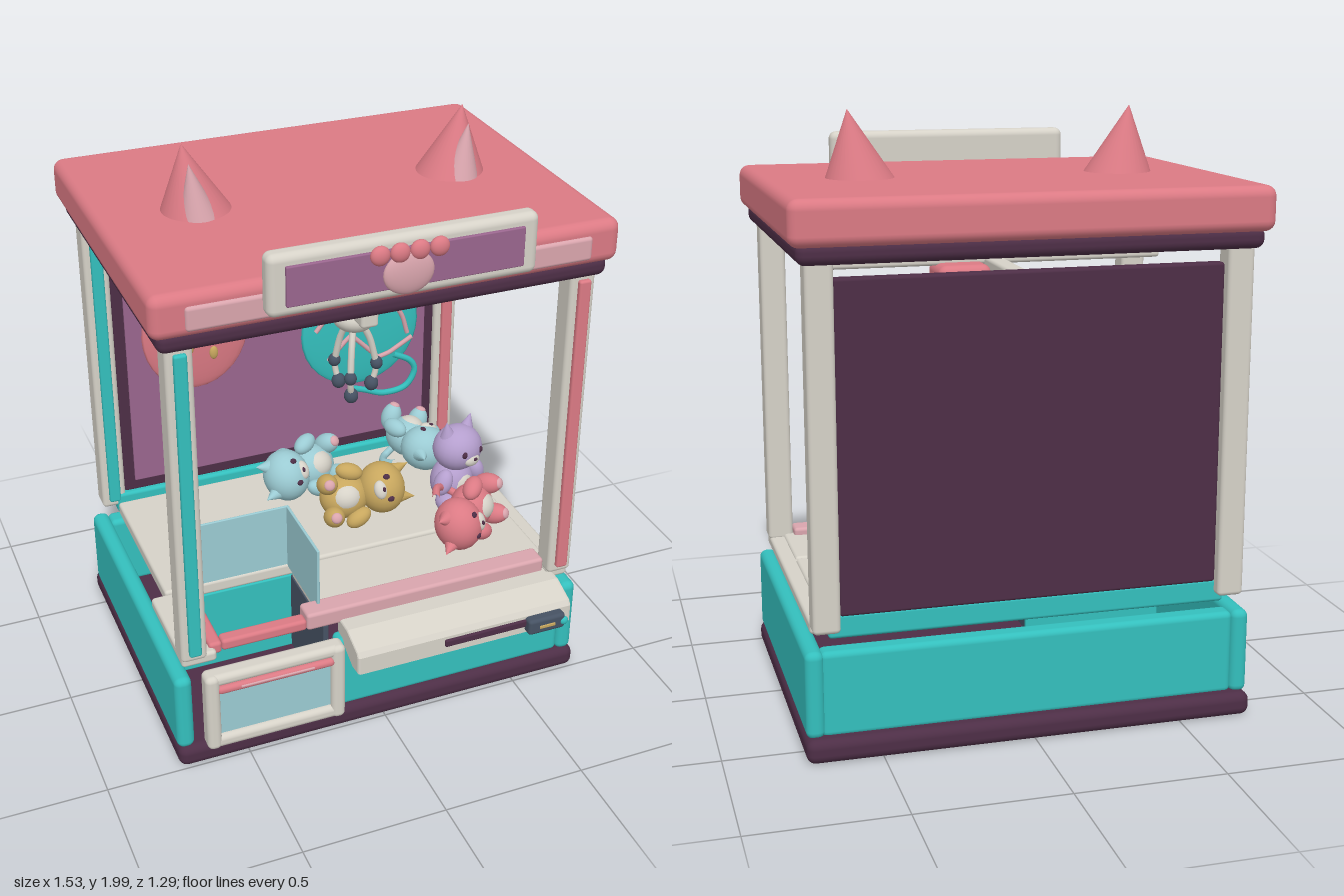
import * as THREE from 'three';
import { RoundedBoxGeometry } from 'three/addons/geometries/RoundedBoxGeometry.js';

const mat = (name, color, side = THREE.FrontSide) => Object.assign(new THREE.MeshStandardMaterial({ color, side }), { name });
const M = {
  pink: mat('pink', 0xdb7a84), pale: mat('pale pink', 0xd9a5ad), cream: mat('cream', 0xd6d2c8),
  teal: mat('teal', 0x34bfbd), plum: mat('dark plum', 0x4d2e46), purple: mat('purple', 0x9a668e),
  blue: mat('pale blue', 0x9bcbd3), grey: mat('slate', 0x465263), gold: mat('gold', 0xc8a75e),
  lilac: mat('lilac', 0xb59fce),
};

function add(parent, name, geo, material, x = 0, y = 0, z = 0) {
  const m = new THREE.Mesh(geo, material);
  m.name = name;
  m.position.set(x, y, z);
  parent.add(m);
  return m;
}
// rounded box given by its extents
function box(parent, name, material, [x0, x1], [y0, y1], [z0, z1], r = 0.012) {
  const s = [x1 - x0, y1 - y0, z1 - z0];
  const geo = new RoundedBoxGeometry(...s, 3, Math.min(r, Math.min(...s) * 0.49));
  return add(parent, name, geo, material, (x0 + x1) / 2, (y0 + y1) / 2, (z0 + z1) / 2);
}
function ball(parent, name, material, [x, y, z], [a, b, c]) {
  const m = add(parent, name, new THREE.SphereGeometry(1, 24, 16), material, x, y, z);
  m.scale.set(a, b, c);
  return m;
}
function tube(parent, name, material, pts, r, tension = 0.5) {
  const curve = new THREE.CatmullRomCurve3(pts.map(p => new THREE.Vector3(...p)), false, 'catmullrom', tension);
  return add(parent, name, new THREE.TubeGeometry(curve, 32, r, 8), material);
}

// plush cat: body at its origin, head along "up", face along "face"
function plush(parent, name, fur, pos, up, face, ears = fur) {
  const g = new THREE.Group();
  g.name = name;
  const u = new THREE.Vector3(...up).normalize(), f = new THREE.Vector3(...face);
  f.addScaledVector(u, -f.dot(u)).normalize();
  g.quaternion.setFromRotationMatrix(new THREE.Matrix4().makeBasis(u.clone().cross(f), u, f));
  g.position.set(...pos);
  ball(g, 'body', fur, [0, 0, 0], [0.082, 0.09, 0.075]);
  ball(g, 'belly', M.cream, [0, 0, 0.03], [0.055, 0.06, 0.052]);
  ball(g, 'head', fur, [0, 0.14, 0.01], [0.095, 0.085, 0.085]);
  ball(g, 'muzzle', M.cream, [0, 0.12, 0.083], [0.035, 0.024, 0.02]);
  ball(g, 'nose', M.plum, [0, 0.13, 0.102], [0.009, 0.006, 0.005]);
  for (const s of [-1, 1]) {
    ball(g, 'eye', M.plum, [s * 0.04, 0.15, 0.083], [0.011, 0.013, 0.009]);
    const ear = add(g, 'ear', new THREE.ConeGeometry(0.03, 0.065, 16), ears, s * 0.055, 0.225, 0);
    ear.rotation.z = -s * 0.25;
    ball(g, 'arm', fur, [s * 0.085, 0.03, 0.035], [0.032, 0.05, 0.034]).rotation.z = s * 0.4;
    ball(g, 'leg', fur, [s * 0.06, -0.06, 0.05], [0.038, 0.038, 0.055]);
    ball(g, 'foot pad', M.pale, [s * 0.06, -0.06, 0.096], [0.02, 0.02, 0.012]);
  }
  tube(g, 'tail', fur, [[0, -0.06, -0.06], [0.04, -0.05, -0.11], [0.08, 0.02, -0.11], [0.07, 0.08, -0.09]], 0.014);
  parent.add(g);
}

export function createModel() {
  const root = new THREE.Group();
  root.name = 'clawMachine';

  // base cabinet
  box(root, 'plinth', M.plum, [-0.745, 0.745], [0.01, 0.09], [-0.62, 0.5], 0.03);
  for (const s of [-1, 1]) {
    const xs = s > 0 ? [0.68, 0.74] : [-0.745, -0.685];
    box(root, 'sidePanel', M.teal, xs, [0.08, 0.37], [-0.585, 0.485], 0.025);
  }
  box(root, 'backPanelLower', M.teal, [-0.69, 0.69], [0.08, 0.365], [-0.575, -0.5], 0.02);
  box(root, 'frontPanel', M.teal, [-0.17, 0.685], [0.08, 0.365], [0.41, 0.475], 0.02);
  box(root, 'backKerb', M.teal, [-0.66, 0.66], [0.4, 0.48], [-0.555, -0.5]);

  // play deck with an opening at front left
  box(root, 'rearDeck', M.cream, [-0.66, 0.66], [0.4, 0.45], [-0.5, 0.105]);
  box(root, 'frontDeck', M.cream, [-0.2, 0.66], [0.4, 0.45], [0.115, 0.42]);
  box(root, 'leftKerb', M.cream, [-0.71, -0.59], [0.4, 0.44], [0.1, 0.46]);
  box(root, 'leftKerbTrim', M.pink, [-0.61, -0.565], [0.41, 0.455], [0.11, 0.44]);
  box(root, 'rightKerb', M.cream, [0.63, 0.71], [0.4, 0.44], [-0.5, 0.46]);
  box(root, 'frontLedge', M.pale, [-0.265, 0.625], [0.41, 0.475], [0.36, 0.44]);
  box(root, 'chuteLip', M.pink, [-0.565, -0.265], [0.415, 0.457], [0.39, 0.44]);

  // prize chute
  box(root, 'chuteBackWall', M.teal, [-0.68, -0.17], [0.09, 0.4], [0.085, 0.105], 0.005);
  box(root, 'chuteSideWall', M.grey, [-0.2, -0.18], [0.09, 0.4], [0.1, 0.42], 0.005);
  box(root, 'dividerRear', M.blue, [-0.6, -0.2], [0.44, 0.69], [0.09, 0.1], 0.003);
  box(root, 'dividerSide', M.blue, [-0.21, -0.2], [0.44, 0.69], [0.09, 0.39], 0.003);
  for (const xs of [[-0.65, -0.6], [-0.205, -0.155]]) box(root, 'doorPost', M.cream, xs, [0.07, 0.375], [0.45, 0.52], 0.02);
  for (const ys of [[0.07, 0.12], [0.33, 0.375]]) box(root, 'doorRail', M.cream, [-0.64, -0.165], ys, [0.45, 0.515], 0.02);
  box(root, 'prizeDoor', M.blue, [-0.61, -0.195], [0.11, 0.34], [0.48, 0.495], 0.004);
  box(root, 'doorHandle', M.pink, [-0.61, -0.195], [0.3, 0.33], [0.49, 0.52], 0.014);
  box(root, 'handleShine', M.pale, [-0.53, -0.27], [0.314, 0.322], [0.515, 0.523], 0.003);

  // sloping control shelf
  const prof = new THREE.Shape([[0.42, 0.37], [0.42, 0.42], [0.5, 0.42], [0.585, 0.39], [0.595, 0.375], [0.595, 0.315], [0.55, 0.31]].map(p => new THREE.Vector2(...p)));
  const shelf = new THREE.ExtrudeGeometry(prof, { depth: 0.78, bevelEnabled: true, bevelSize: 0.006, bevelThickness: 0.01, bevelSegments: 2 });
  shelf.rotateY(-Math.PI / 2);
  add(root, 'controlShelf', shelf, M.cream, 0.643);
  box(root, 'slot', M.plum, [0.17, 0.5], [0.338, 0.366], [0.59, 0.61], 0.006);
  box(root, 'cardReader', M.grey, [0.475, 0.615], [0.315, 0.375], [0.59, 0.635]);
  box(root, 'readerLight', M.gold, [0.515, 0.575], [0.337, 0.35], [0.63, 0.638], 0.003);
  ball(root, 'button', M.teal, [0.61, 0.345, 0.63], [0.016, 0.016, 0.012]);

  // corner posts with a coloured strip on each front
  for (const s of [-1, 1]) for (const z of [0.43, -0.55]) {
    box(root, 'post', M.cream, [s * 0.67 - 0.044, s * 0.67 + 0.044], [0.43, 1.6], [z - 0.044, z + 0.044], 0.015);
    box(root, 'postStrip', s > 0 ? M.pink : M.teal, [s * 0.67 - 0.021, s * 0.67 + 0.021], [0.46, 1.57], [z + 0.04, z + 0.062], 0.008);
  }

  // back wall
  box(root, 'backWall', M.plum, [-0.625, 0.625], [0.475, 1.535], [-0.565, -0.52], 0.01);
  box(root, 'backLining', M.purple, [-0.585, 0.585], [0.52, 1.5], [-0.525, -0.512], 0.004);

  // strawberry decoration
  ball(root, 'strawberry', M.pink, [-0.335, 1.12, -0.485], [0.2, 0.235, 0.022]);
  for (const [x, y] of [[-0.41, 1.18], [-0.32, 1.23], [-0.25, 1.145], [-0.365, 1.06], [-0.275, 1.025]])
    ball(root, 'seed', M.gold, [x, y, -0.465], [0.016, 0.026, 0.01]);
  for (const s of [-1, 1]) {
    const bow = add(root, 'bow', new THREE.ConeGeometry(0.075, 0.115, 20), M.blue, -0.335 + s * 0.057, 1.313, -0.485);
    bow.rotation.z = s * Math.PI / 2;
    bow.scale.z = 0.75;
  }

  // yarn ball decoration
  ball(root, 'yarnBall', M.teal, [0.305, 1.005, -0.485], [0.235, 0.235, 0.02]);
  const flat = (pts, z) => pts.map(([x, y]) => [x, y, z]);
  tube(root, 'yarnStrand', M.pale, flat([[0.12, 1.03], [0.19, 1.11], [0.28, 1.15], [0.39, 1.13], [0.46, 1.05], [0.49, 0.96]], -0.463), 0.009);
  tube(root, 'yarnStrand', M.pale, flat([[0.17, 0.9], [0.26, 0.99], [0.37, 0.88], [0.42, 0.89], [0.51, 0.94]], -0.463), 0.009, 0.1);
  tube(root, 'yarnTail', M.teal, flat([[0.44, 0.87], [0.51, 0.83], [0.53, 0.78], [0.49, 0.72], [0.4, 0.71], [0.32, 0.74], [0.26, 0.76]], -0.475), 0.012);

  // roof
  box(root, 'roofTrim', M.plum, [-0.74, 0.74], [1.58, 1.65], [-0.62, 0.5], 0.03);
  box(root, 'roof', M.pink, [-0.765, 0.765], [1.635, 1.78], [-0.645, 0.52], 0.035);
  box(root, 'roofBand', M.pale, [-0.66, 0.66], [1.66, 1.74], [0.5, 0.53], 0.012);
  box(root, 'signFrame', M.cream, [-0.433, 0.433], [1.685, 1.885], [0.525, 0.592], 0.025);
  box(root, 'signPanel', M.purple, [-0.38, 0.38], [1.722, 1.85], [0.585, 0.602], 0.004);
  ball(root, 'pawPad', M.pale, [0, 1.77, 0.602], [0.082, 0.07, 0.022]);
  for (let i = 0; i < 4; i++) ball(root, 'pawToe', M.pink, [-0.0945 + i * 0.063, 1.84, 0.608], [0.031, 0.031, 0.02]);

  // cat ears on the roof
  for (const s of [-1, 1]) {
    const outer = add(root, 'ear', new THREE.ConeGeometry(0.125, 0.25, 32), M.pink, s * 0.462, 1.876, -0.055);
    const inner = add(root, 'innerEar', new THREE.ConeGeometry(0.07, 0.2, 32), M.pale, s * 0.462, 1.855, 0.002);
    outer.rotation.z = inner.rotation.z = -s * 0.14;
  }

  // gantry and claw
  box(root, 'crossRail', M.cream, [-0.59, 0.59], [1.485, 1.535], [-0.085, -0.033]);
  box(root, 'depthRail', M.cream, [-0.03, 0.03], [1.45, 1.51], [-0.44, 0.325]);
  const claw = new THREE.Group();
  claw.name = 'claw';
  claw.position.set(0.115, 0, -0.085);
  root.add(claw);
  box(claw, 'carriage', M.pink, [-0.09, 0.09], [1.385, 1.495], [-0.088, 0.088], 0.03);
  add(claw, 'motor', new THREE.CylinderGeometry(0.058, 0.045, 0.09, 24), M.grey, 0, 1.355, 0);
  ball(claw, 'hub', M.cream, [0, 1.28, 0], [0.077, 0.053, 0.077]);
  for (let i = 0; i < 3; i++) {
    const finger = new THREE.Group();
    finger.name = 'finger';
    finger.rotation.y = i * Math.PI * 2 / 3;
    tube(finger, 'upperFinger', M.cream, [[0.025, 1.25, 0], [0.06, 1.18, 0], [0.085, 1.08, 0]], 0.012);
    ball(finger, 'knuckle', M.grey, [0.086, 1.08, 0], [0.022, 0.024, 0.022]);
    tube(finger, 'lowerFinger', M.cream, [[0.086, 1.08, 0], [0.08, 1.04, 0], [0.065, 1.0, 0]], 0.011);
    ball(finger, 'fingertip', M.grey, [0.067, 1.003, 0], [0.025, 0.028, 0.025]);
    claw.add(finger);
  }

  // plush prizes
  plush(root, 'pinkPlush', M.pink, [0.47, 0.57, 0.17], [-0.75, 0.05, 0.65], [0.2, 0.25, 0.9]);
  plush(root, 'lilacPlush', M.lilac, [0.48, 0.57, -0.02], [0.08, 1, 0], [0.35, -0.05, 0.9]);
  plush(root, 'goldPlush', M.gold, [0.07, 0.57, -0.06], [0.95, 0.1, 0.1], [0, 0.45, 0.85]);
  plush(root, 'bluePlush', M.blue, [0.03, 0.58, -0.28], [-0.7, 0.1, 0.3], [0.4, 0.6, 0.8]);
  plush(root, 'bluePlush', M.blue, [0.46, 0.56, -0.37], [0.05, 0.1, 0.95], [0.35, 0.9, 0]);
  return root;
}
